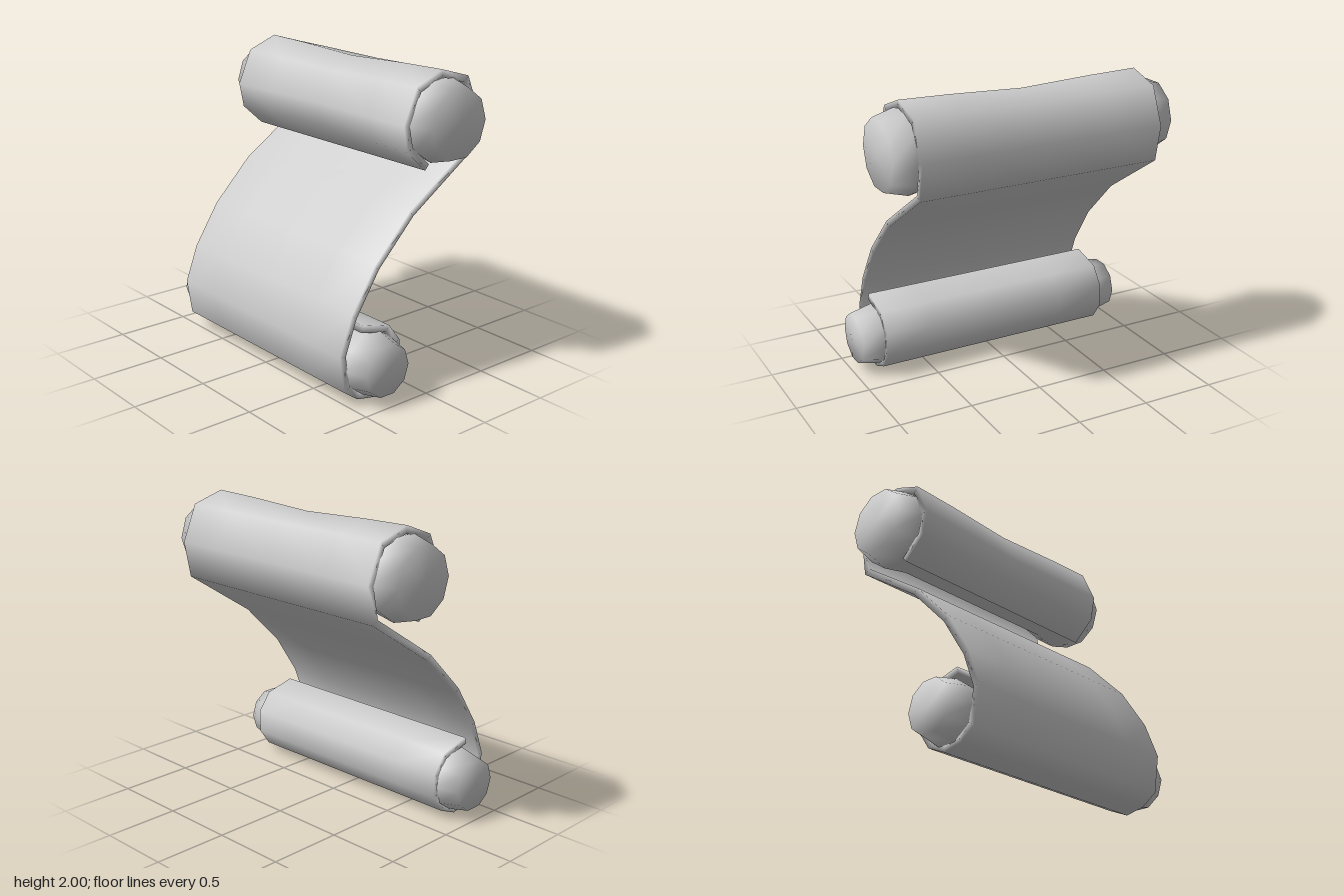
import * as THREE from 'three';

const HALF_THICK = 0.023;
const COLUMNS = [-0.83, -0.5, 0, 0.5, 0.83];
const DENT = [0, 0.008, 0.03, 0.008, 0]; // inward sag of the upper roll per column
const UPPER = { z: -0.245, y: 1.685 };
const LOWER = { z: 0.305, y: 0.24 };

// Centreline of the sheet as [z, y], from the lower curl to the upper curl
const PATH = [
  [0.385, 0.485], [0.18, 0.435], [0.097, 0.325], [0.097, 0.185], [0.17, 0.08],
  [0.29, 0.028], [0.41, 0.052], [0.505, 0.12], [0.54, 0.345], [0.452, 0.58],
  [0.275, 0.855], [-0.005, 1.14], [-0.495, 1.465], [-0.538, 1.69], [-0.442, 1.915],
  [-0.235, 1.975], [-0.042, 1.9], [0.051, 1.69], [0.02, 1.54], [-0.125, 1.41],
].map(([z, y]) => new THREE.Vector2(z, y));

// Mitred offset across the sheet thickness at one path point
function offsetAt(i) {
  const before = PATH[i].clone().sub(PATH[Math.max(i - 1, 0)]).normalize();
  const after = PATH[Math.min(i + 1, PATH.length - 1)].clone().sub(PATH[i]).normalize();
  const t = before.clone().add(after).normalize();
  const along = before.lengthSq() > 0 ? before : after;
  return new THREE.Vector2(t.y, -t.x).multiplyScalar(HALF_THICK / Math.max(t.dot(along), 0.6));
}

// Thin curled sheet: two skins joined all round, with shared smooth normals
function sheetGeometry() {
  const n = PATH.length, m = COLUMNS.length;
  const positions = [], index = [];
  for (const side of [1, -1]) {
    for (let i = 0; i < n; i++) {
      const p = PATH[i].clone().addScaledVector(offsetAt(i), side);
      COLUMNS.forEach((x, j) => {
        const q = p.clone();
        if (i > 12 && i < n - 1) {
          const toAxis = new THREE.Vector2(UPPER.z, UPPER.y).sub(q).normalize();
          q.addScaledVector(toAxis, DENT[j] * (i < 15 ? 0.3 : 1));
        }
        positions.push(x, q.y, q.x);
      });
    }
  }
  const A = (i, j) => i * m + j;
  const B = (i, j) => n * m + i * m + j;
  const quad = (a, b, c, d) => index.push(a, b, c, a, c, d);
  for (let i = 0; i < n - 1; i++) {
    for (let j = 0; j < m - 1; j++) {
      quad(A(i, j), A(i, j + 1), A(i + 1, j + 1), A(i + 1, j));
      quad(B(i, j), B(i + 1, j), B(i + 1, j + 1), B(i, j + 1));
    }
    // side edges
    quad(A(i, m - 1), B(i, m - 1), B(i + 1, m - 1), A(i + 1, m - 1));
    quad(A(i, 0), A(i + 1, 0), B(i + 1, 0), B(i, 0));
  }
  // curled ends
  for (let j = 0; j < m - 1; j++) {
    quad(A(n - 1, j), A(n - 1, j + 1), B(n - 1, j + 1), B(n - 1, j));
    quad(A(0, j), B(0, j), B(0, j + 1), A(0, j + 1));
  }
  const g = new THREE.BufferGeometry();
  g.setAttribute('position', new THREE.Float32BufferAttribute(positions, 3));
  g.setIndex(index);
  g.computeVertexNormals();
  return g;
}

// Roller with tapered, softly shaded ends, narrower where the sheet covers it
function roller(name, axis, radius, endRadius, core, material) {
  const half = [[core, 0.65], [radius, 0.82], [endRadius, 0.975], [0, 0.975]];
  const profile = [
    ...half.map(([r, l]) => new THREE.Vector2(r, -l)).reverse(),
    ...half.map(([r, l]) => new THREE.Vector2(r, l)),
  ];
  const mesh = new THREE.Mesh(new THREE.LatheGeometry(profile, 10), material);
  mesh.name = name;
  mesh.rotation.z = -Math.PI / 2;
  mesh.position.set(0, axis.y, axis.z);
  return mesh;
}

export function createModel() {
  const material = new THREE.MeshStandardMaterial({ color: 0xcccccc });
  const scroll = new THREE.Group();
  scroll.name = 'scroll';

  const sheet = new THREE.Mesh(sheetGeometry(), material);
  sheet.name = 'curledSheet';
  scroll.add(sheet);

  scroll.add(roller('upperRoller', UPPER, 0.268, 0.225, 0.235, material));
  scroll.add(roller('lowerRoller', LOWER, 0.207, 0.172, 0.18, material));
  return scroll;
}
